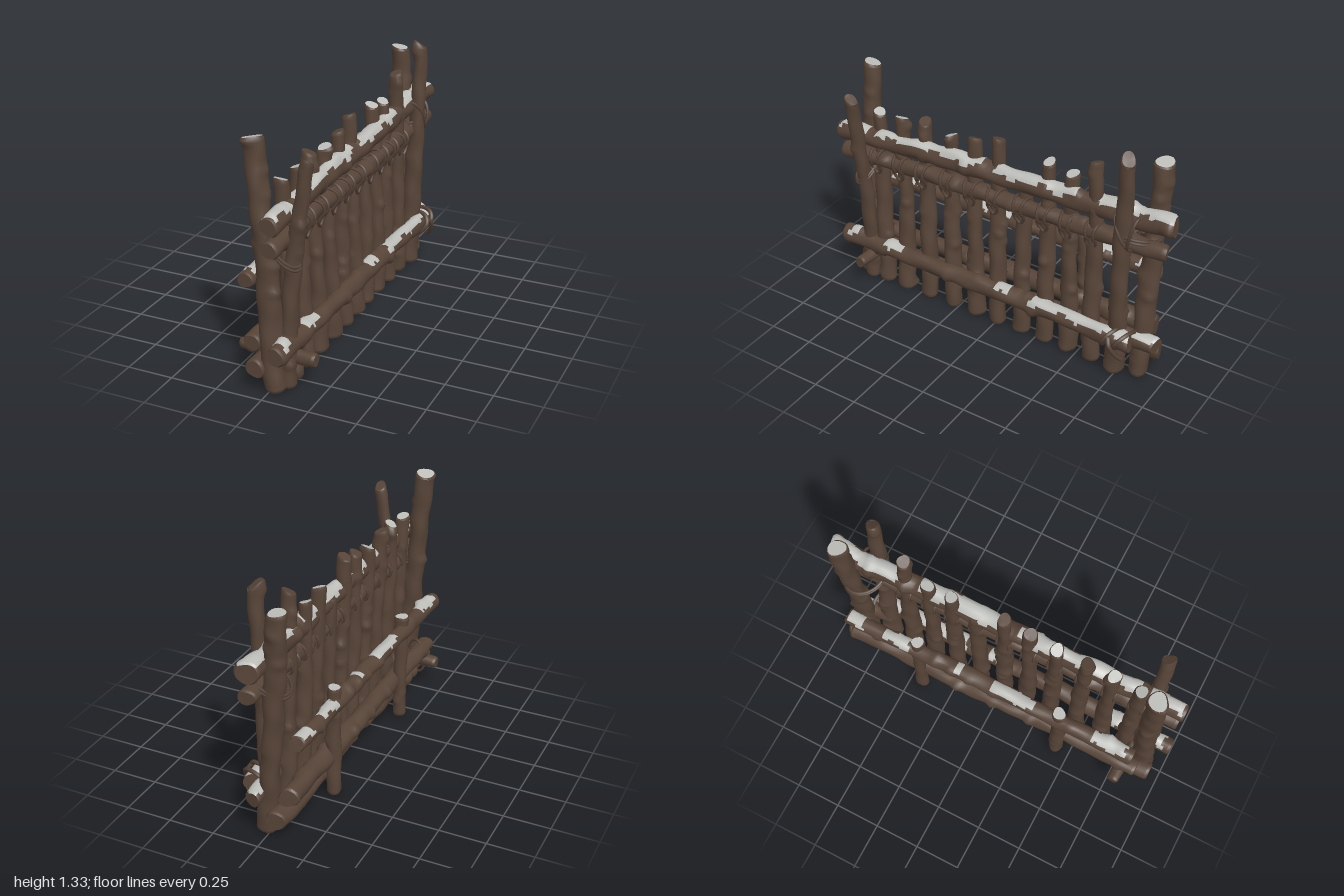
import * as THREE from 'three';

const wood = new THREE.MeshStandardMaterial({ color: 0x574438 });
wood.name = 'barkBrown';
const snow = new THREE.MeshStandardMaterial({ color: 0xbebebb });
snow.name = 'snowGrey';
const cord = new THREE.MeshStandardMaterial({ color: 0x534136 });
cord.name = 'ropeBrown';

const V = (x, y, z) => new THREE.Vector3(x, y, z);
let seed = 11;
const rand = () => {
  seed = (seed * 16807) % 2147483647;
  return seed / 2147483647;
};

// A knobbly log from a to b. o.snow: stretches [from, to] along it under snow,
// o.pile: snow depth, o.slant: how far the end cut leans, o.cap: snow on the end,
// o.bow: sideways bend at mid-length.
function log(name, a, b, r0, r1, o = {}) {
  const { snow: stretches = [], pile = 0.003, slant = 0.01, wob = 0.003, bow = 0 } = o;
  const sides = 20, len = a.distanceTo(b);
  const rings = Math.max(8, Math.round(len / 0.018));
  const T = b.clone().sub(a).normalize();
  const N = Math.abs(T.y) > 0.7 ? V(1, 0, 0) : V(0, 1, 0);
  N.addScaledVector(T, -N.dot(T)).normalize();
  const B = T.clone().cross(N);
  const p1 = rand() * 6.28, p2 = rand() * 6.28, p3 = rand() * 6.28;
  const knots = Array.from({ length: Math.ceil(len * 6) }, () => [rand() * len, rand() * 6.28, 0.12 + rand() * 0.25]);
  const covered = (t, up) =>
    up > 0.6 + 0.14 * Math.sin(t * len * 21 + p2) + 0.08 * Math.sin(t * len * 47 + p1) &&
    stretches.some(([f, e]) => t >= f + 0.012 * up && t <= e);

  const pos = [], bark = [], white = [];
  const ring = (t, scale, tilt) => {
    const s = t * len;
    const c = a.clone().lerp(b, t)
      .addScaledVector(N, wob * Math.sin(s * 5 + p1) + bow * Math.sin(Math.PI * t))
      .addScaledVector(B, wob * Math.sin(s * 6 + p2));
    for (let j = 0; j < sides; j++) {
      const th = (j / sides) * Math.PI * 2;
      let k = 1 + 0.06 * Math.sin(2 * th + s * 7 + p1) + 0.05 * Math.sin(3 * th - s * 17 + p2) + 0.04 * Math.sin(s * 31 + th + p3);
      for (const [ks, ka, kh] of knots)
        k += kh * Math.exp(-(((s - ks) / 0.022) ** 2)) * Math.exp(-4 * (1 - Math.cos(th - ka)));
      const r = THREE.MathUtils.lerp(r0, r1, t) * k * scale;
      const dir = N.clone().multiplyScalar(Math.cos(th)).addScaledVector(B, Math.sin(th));
      const p = c.clone().addScaledVector(dir, r).addScaledVector(T, tilt * Math.cos(th + p3));
      if (covered(t, dir.y)) p.y += pile * (0.7 + 0.3 * Math.sin(s * 27));
      pos.push(p.x, p.y, p.z);
    }
  };
  const rim = Math.min(0.012 / len, 0.1);
  ring(0, 0.88, 0);
  ring(rim, 1, 0);
  for (let i = 1; i < rings; i++) ring(i / rings, 1, 0);
  ring(1 - rim, 1, slant);
  ring(1, 0.88, slant);
  const count = rings + 3;
  for (let i = 0; i < count - 1; i++)
    for (let j = 0; j < sides; j++) {
      const q = i * sides + j, n = i * sides + ((j + 1) % sides);
      const th = ((j + 0.5) / sides) * Math.PI * 2;
      const up = N.y * Math.cos(th) + B.y * Math.sin(th);
      const list = covered(i / (count - 2), up) ? white : bark;
      list.push(q, n, q + sides, n, n + sides, q + sides);
    }
  // End cuts with their own vertices, so the rim stays sharp
  const cap = (from, end) => {
    const base = pos.length / 3;
    const c = V(0, 0, 0);
    for (let j = 0; j < sides; j++) {
      const p = V(pos[(from + j) * 3], pos[(from + j) * 3 + 1], pos[(from + j) * 3 + 2]);
      pos.push(p.x, p.y, p.z);
      c.addScaledVector(p, 1 / sides);
    }
    pos.push(c.x, c.y, c.z);
    const list = end && o.cap ? white : bark;
    for (let j = 0; j < sides; j++) {
      const p = base + j, q = base + ((j + 1) % sides), m = base + sides;
      if (end) list.push(m, p, q); else list.push(m, q, p);
    }
  };
  cap(0, false);
  cap((count - 1) * sides, true);

  const g = new THREE.BufferGeometry();
  g.setAttribute('position', new THREE.Float32BufferAttribute(pos, 3));
  g.setIndex([...bark, ...white]);
  g.addGroup(0, bark.length, 0);
  if (white.length) g.addGroup(bark.length, white.length, 1);
  g.computeVertexNormals();
  const m = new THREE.Mesh(g, [wood, snow]);
  m.name = name;
  return m;
}

// A rope through points, closed by default
function rope(name, pts, r = 0.008, closed = true) {
  const curve = new THREE.CatmullRomCurve3(pts, closed);
  const m = new THREE.Mesh(new THREE.TubeGeometry(curve, 36, r, 6, closed), cord);
  m.name = name;
  return m;
}

// An elliptical lashing around c, spanned by half-axes u and v
function lashing(name, c, u, v, r) {
  const pts = [];
  for (let i = 0; i < 10; i++) {
    const t = (i / 10) * Math.PI * 2;
    pts.push(c.clone().addScaledVector(u, Math.cos(t)).addScaledVector(v, Math.sin(t)));
  }
  return rope(name, pts, r);
}

export function createModel() {
  const root = new THREE.Group();
  root.name = 'stickFence';
  const add = (...m) => root.add(...m);

  // Pales: [bottom z, top z, height, snow on top]
  const pales = [
    [0.74, 0.765, 1.07, true], [0.6, 0.612, 1.08, true], [0.445, 0.467, 1.1, false], [0.29, 0.305, 1.07, true],
    [0.14, 0.157, 1.1, false], [0, 0.012, 1.14, false], [-0.15, -0.15, 0.97, false], [-0.3, -0.288, 1.1, true],
    [-0.44, -0.42, 1.08, true], [-0.585, -0.565, 1.2, false],
  ];
  const palesGroup = new THREE.Group();
  palesGroup.name = 'pales';
  for (const [z0, z1, h, cap] of pales)
    palesGroup.add(log('pale', V(0.045, 0.015, z0), V(h > 1.15 ? 0.033 : 0.012, h, z1), 0.049, 0.036, { cap, slant: 0.012 }));
  add(palesGroup);

  // End posts
  add(
    log('frontPost', V(0.02, 0.012, 0.875), V(-0.075, 1.3, 0.862), 0.06, 0.049, { cap: true }),
    log('frontLeaningPost', V(0.055, 0.02, 0.83), V(0.172, 1.2, 0.822), 0.046, 0.034, { slant: 0.02, wob: 0.002, bow: -0.02 }),
    log('rearLeaningPost', V(0.06, 0.012, -0.73), V(0.098, 1.31, -0.762), 0.053, 0.037, { slant: 0.025, wob: 0.002 }),
    log('rearPost', V(0.02, 0.015, -0.85), V(-0.075, 1.25, -0.872), 0.052, 0.051, { cap: true }),
  );

  // Rails on the left face
  add(
    log('topRail', V(0.057, 0.925, 1), V(0.025, 0.967, -1), 0.048, 0.055, { snow: [[0, 0.1], [0.12, 0.46], [0.49, 0.74], [0.77, 1]], pile: 0.014 }),
    log('upperRail', V(0.045, 0.802, 0.985), V(0.045, 0.822, -0.975), 0.045, 0.044),
    log('lowerRail', V(0.078, 0.255, 1), V(0.112, 0.255, -0.84), 0.048, 0.047, { snow: [[0.02, 0.06], [0.15, 0.23], [0.55, 0.61], [0.67, 1]], pile: 0.008 }),
    log('lowerRailRearEnd', V(0.05, 0.255, -0.7), V(0.048, 0.24, -0.955), 0.044, 0.045, { snow: [[0.5, 1]] }),
  );

  // Logs stacked along the foot of the right face
  add(
    log('footLogFront', V(-0.065, 0.135, 0.95), V(-0.06, 0.13, 0.075), 0.05, 0.05),
    log('footLogRear', V(-0.06, 0.13, -0.05), V(-0.065, 0.13, -0.93), 0.05, 0.052),
    log('upperFootLog', V(-0.108, 0.237, 0.88), V(-0.108, 0.245, -0.88), 0.046, 0.053),
    log('frontCrossPiece', V(-0.213, 0.17, 0.79), V(0.207, 0.175, 0.812), 0.032, 0.034, { slant: 0 }),
  );

  // Back rail with its two stakes
  add(log('backRail', V(-0.155, 0.55, 0.85), V(-0.15, 0.552, -0.855), 0.043, 0.041, { snow: [[0.02, 0.14], [0.33, 0.48], [0.58, 0.61], [0.76, 0.86], [0.92, 0.99]] }));
  for (const z of [0.415, -0.43])
    add(log('backStake', V(-0.138, 0.015, z), V(-0.143, 0.64, z), 0.037, 0.036, { cap: true, slant: 0 }));

  // Lashings around the upper rail at each pale, with a loop hanging below
  for (const [z0, z1] of pales) {
    const z = z0 + (z1 - z0) * 0.75;
    for (const s of [-1, 1])
      add(lashing('paleLashing', V(0.045, 0.811, z + s * 0.028), V(0.052, 0.002, -s * 0.006), V(0, 0.05, s * 0.004)));
    add(rope('hangingLoop', [V(0.085, 0.785, z - 0.028), V(0.068, 0.745, z - 0.024), V(0.062, 0.715, z), V(0.068, 0.745, z + 0.028), V(0.085, 0.785, z + 0.03)], 0.008, false));
  }

  // Lashings at the posts
  for (const d of [0, 0.018])
    add(
      lashing('rearPostLashing', V(0.005, 0.83 + d, -0.805), V(0.108, 0.035, 0.02), V(0, 0, 0.1)),
      lashing('frontPostLashing', V(0.065, 0.71 + d, 0.835), V(0.07, -0.05, 0), V(0, -0.015, 0.05)),
      lashing('lowerRearLashing', V(0.1, 0.255, -0.73 - d * 4), V(0.075, 0.012, 0.015), V(0, 0.055, -0.03), 0.012),
      lashing('upperRearLashing', V(0.06, 0.89, -0.75 - d * 3), V(0.068, 0, 0), V(0, 0.1, 0.05 - d * 4)),
    );
  add(
    lashing('footLashing', V(-0.085, 0.185, 0.8), V(0.058, 0.01, 0.02), V(0, 0.1, 0)),
    rope('rearRopeEnd', [V(0.165, 0.29, -0.74), V(0.185, 0.25, -0.76), V(0.165, 0.19, -0.79), V(0.14, 0.16, -0.81)], 0.012, false),
  );
  return root;
}
